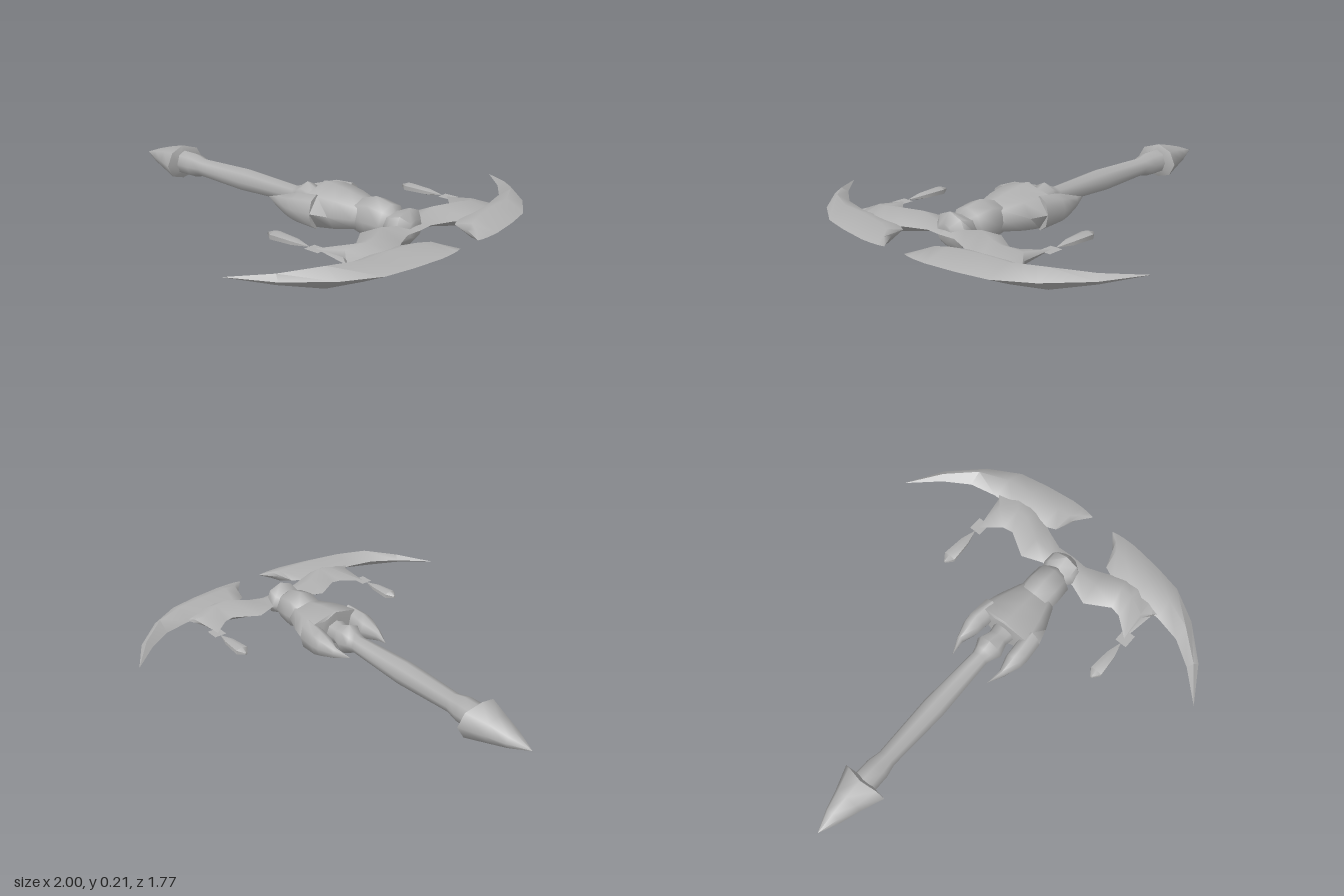
import * as THREE from 'three';
import { toCreasedNormals } from 'three/addons/utils/BufferGeometryUtils.js';

// Skin a list of equal-length point rings, capping both ends
function loft(rings, crease = 1.15) {
  const n = rings[0].length, pos = [], idx = [];
  rings.forEach(r => r.forEach(p => pos.push(...p)));
  for (let i = 0; i < rings.length - 1; i++) {
    for (let j = 0; j < n; j++) {
      const a = i * n + j, b = i * n + (j + 1) % n;
      idx.push(a, b, b + n, a, b + n, a + n);
    }
  }
  const last = (rings.length - 1) * n;
  for (let j = 1; j < n - 1; j++) {
    idx.push(0, j + 1, j);
    idx.push(last, last + j, last + j + 1);
  }
  const g = new THREE.BufferGeometry();
  g.setAttribute('position', new THREE.Float32BufferAttribute(pos, 3));
  g.setIndex(idx);
  return toCreasedNormals(g, crease);
}

// Elliptical sections along x: [x, half height, half depth, bow, centre z]
function spindle(sections, sides = 8, crease) {
  return loft(sections.map(([x, ry, rz, bow = 0, cz = 0]) =>
    Array.from({ length: sides }, (_, j) => {
      const a = j / sides * Math.PI * 2;
      return [x + bow * Math.abs(Math.sin(a)), ry * Math.cos(a), cz + rz * Math.sin(a)];
    })), crease);
}

// Sharp-edged blade: [front x, front z, back x, back z, half thickness]
function blade(stations) {
  return loft(stations.map(([px, pz, qx, qz, h]) => {
    const mx = (px + qx) / 2, mz = (pz + qz) / 2;
    return [[px, 0, pz], [mx, -h, mz], [qx, 0, qz], [mx, h, mz]];
  }), 1.3);
}

export function createModel() {
  const model = new THREE.Group();
  model.name = 'doubleAxe';
  const axis = new THREE.Group();
  axis.name = 'axe';
  axis.position.y = 0.103;
  model.add(axis);

  const grey = new THREE.MeshStandardMaterial({ color: 0xb0b0b0, side: THREE.DoubleSide });
  grey.name = 'grey metal';
  const add = (parent, name, geometry) => {
    const m = new THREE.Mesh(geometry, grey);
    m.name = name;
    parent.add(m);
    return m;
  };

  // Handle and its pointed end
  add(axis, 'pommelSpike', spindle([
    [-1, 0, 0], [-0.9, 0.037, 0.045], [-0.81, 0.063, 0.073],
    [-0.72, 0.085, 0.115, 0.02], [-0.7, 0.05, 0.055, 0.005]]));
  add(axis, 'shaft', spindle([
    [-0.72, 0.06, 0.06], [-0.62, 0.06, 0.058], [-0.56, 0.045, 0.045],
    [-0.25, 0.056, 0.056], [0.07, 0.042, 0.042], [0.1, 0.05, 0.05],
    [0.14, 0.077, 0.07], [0.2, 0.05, 0.05], [0.26, 0.06, 0.06]]));

  // Head socket and the two collars
  add(axis, 'socket', spindle([
    [0.24, 0.102, 0.09, 0.005], [0.25, 0.103, 0.168], [0.3, 0.098, 0.166],
    [0.38, 0.088, 0.142], [0.48, 0.066, 0.1], [0.54, 0.04, 0.06]]));
  add(axis, 'rearCollar', spindle([
    [0.4, 0.05, 0.03], [0.45, 0.07, 0.09], [0.53, 0.095, 0.094],
    [0.61, 0.078, 0.09], [0.65, 0.05, 0.03]]));
  add(axis, 'frontCollar', spindle([
    [0.59, 0.04, 0.05], [0.65, 0.06, 0.09], [0.7, 0.083, 0.09], [0.735, 0.04, 0.045]]));

  // Each side is the other turned half way round the handle
  for (const [side, turn] of [['left', 0], ['right', Math.PI]]) {
    const half = new THREE.Group();
    half.name = side + 'Side';
    half.rotation.x = turn;
    axis.add(half);

    // Prong reaching back along the handle
    add(half, 'prong', spindle([
      [0, 0, 0, 0, 0.105], [0.08, 0.028, 0.016, 0, 0.128], [0.16, 0.055, 0.044, 0, 0.129],
      [0.2, 0.068, 0.047, 0, 0.13], [0.3, 0.078, 0.048, 0, 0.12]]));

    // Crescent blade, from its long tip to its inner tip
    add(half, 'crescentBlade', blade([
      [0.53, 0.885, 0.53, 0.885, 0], [0.71, 0.78, 0.66, 0.75, 0.022],
      [0.86, 0.63, 0.74, 0.63, 0.044], [0.95, 0.48, 0.77, 0.5, 0.043],
      [0.98, 0.34, 0.77, 0.38, 0.046], [1, 0.19, 0.79, 0.22, 0.04],
      [1, 0.13, 0.82, 0.155, 0.03], [0.997, 0.09, 0.9, 0.13, 0.018],
      [0.99, 0.06, 0.99, 0.06, 0]]));

    // Arm carrying the blade, with its barb
    add(half, 'bladeArm', blade([
      [0.8, 0.5, 0.72, 0.44, 0.01], [0.86, 0.42, 0.585, 0.445, 0.026],
      [0.86, 0.34, 0.66, 0.355, 0.045], [0.84, 0.27, 0.67, 0.305, 0.055],
      [0.79, 0.17, 0.6, 0.19, 0.045], [0.755, 0.08, 0.64, 0.09, 0.024],
      [0.76, 0, 0.64, 0, 0.03]]));

    // Hanging ornament: flat link and teardrop
    const link = add(half, 'pendantLink', new THREE.PlaneGeometry(0.07, 0.06));
    link.rotation.x = -Math.PI / 2;
    link.position.set(0.59, 0, 0.447);
    add(half, 'pendantDrop', spindle([
      [0.335, 0.006, 0.006, 0, 0.447], [0.37, 0.02, 0.034, 0, 0.447],
      [0.48, 0.015, 0.024, 0, 0.447], [0.56, 0, 0, 0, 0.447]], 6));
  }
  return model;
}
